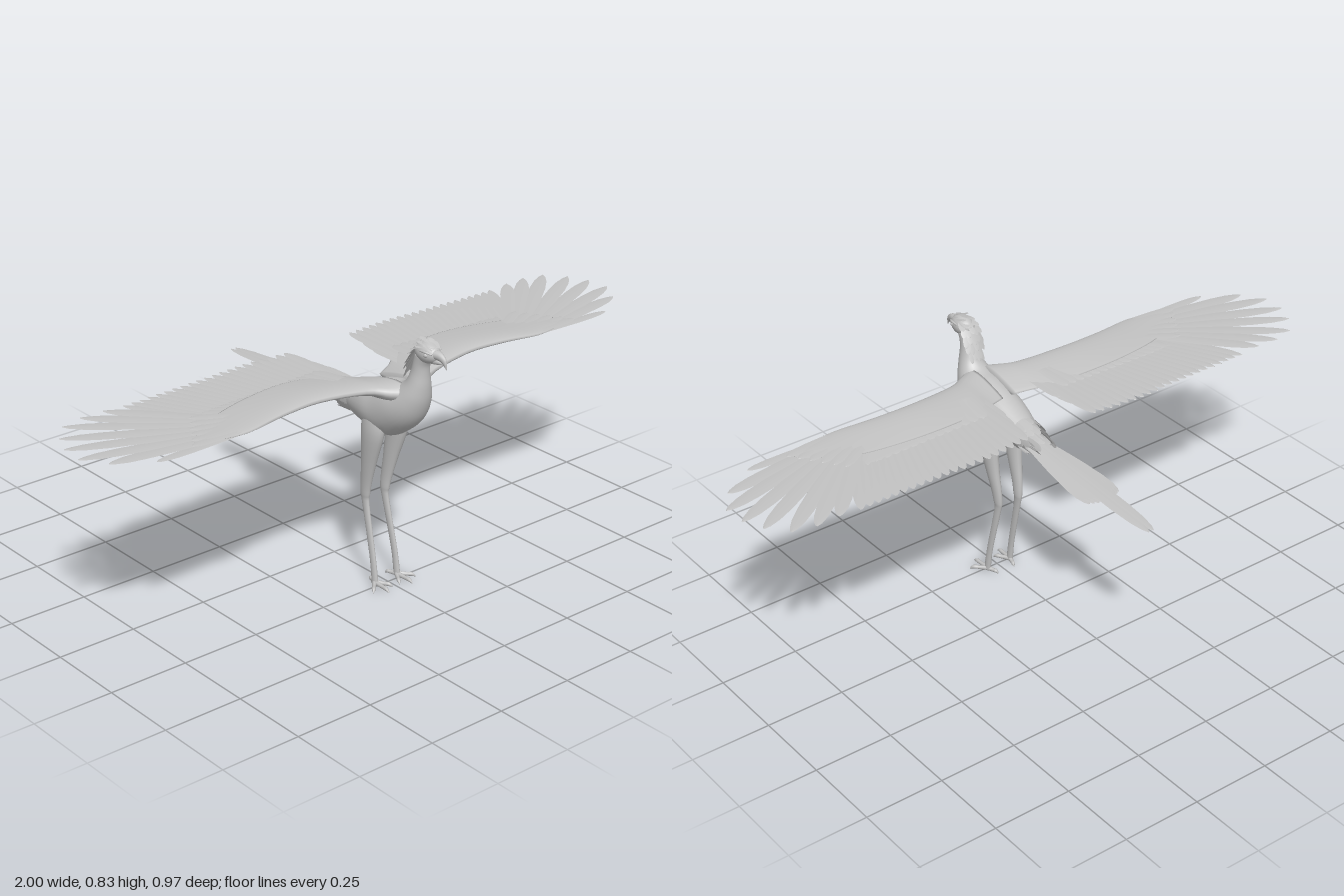
import * as THREE from 'three';
import { mergeGeometries } from 'three/addons/utils/BufferGeometryUtils.js';

const V = (x, y, z) => new THREE.Vector3(x, y, z);
const lerp = THREE.MathUtils.lerp;

// Catmull-Rom upsampling of rows of numbers
function smooth(rows, n) {
  const cr = (a, b, c, d, t) => 0.5 * (2 * b + (c - a) * t + (2 * a - 5 * b + 4 * c - d) * t * t + (3 * b - a - 3 * c + d) * t * t * t);
  const out = [];
  const at = (i) => rows[Math.min(Math.max(i, 0), rows.length - 1)];
  for (let i = 0; i < rows.length - 1; i++) {
    for (let k = 0; k < n; k++) out.push(rows[i].map((_, j) => cr(at(i - 1)[j], at(i)[j], at(i + 1)[j], at(i + 2)[j], k / n)));
  }
  out.push(rows[rows.length - 1]);
  return out;
}

// Closed, capped skin over rings of points; faces are turned outwards
function loft(rings) {
  const m = rings[0].length, pos = [], idx = [];
  rings.forEach((r) => r.forEach((p) => pos.push(p.x, p.y, p.z)));
  for (let i = 0; i < rings.length - 1; i++) {
    for (let j = 0; j < m; j++) {
      const a = i * m + j, b = i * m + (j + 1) % m;
      idx.push(a, b, a + m, b, b + m, a + m);
    }
  }
  [0, rings.length - 1].forEach((i, end) => {
    const c = V(0, 0, 0);
    rings[i].forEach((p) => c.addScaledVector(p, 1 / m));
    const ci = pos.push(c.x, c.y, c.z) / 3 - 1;
    for (let j = 0; j < m; j++) {
      const a = i * m + j, b = i * m + (j + 1) % m;
      if (end) idx.push(ci, a, b); else idx.push(ci, b, a);
    }
  });
  const P = (i) => V(pos[3 * i], pos[3 * i + 1], pos[3 * i + 2]);
  let vol = 0;
  for (let i = 0; i < idx.length; i += 3) vol += P(idx[i]).dot(P(idx[i + 1]).cross(P(idx[i + 2])));
  if (vol < 0) idx.reverse();
  const g = new THREE.BufferGeometry();
  g.setAttribute('position', new THREE.Float32BufferAttribute(pos, 3));
  g.setIndex(idx);
  g.computeVertexNormals();
  return g;
}

// Elliptical ring: centre plus two half-axis vectors
function ring(c, u, v, n = 20) {
  return Array.from({ length: n }, (_, i) => {
    const a = (i / n) * Math.PI * 2;
    return c.clone().addScaledVector(u, Math.cos(a)).addScaledVector(v, Math.sin(a));
  });
}

// Tapered tube through [x, y, z, radius] rows
function taper(rows, n = 8) {
  const r = smooth(rows, 3), p = r.map((q) => V(q[0], q[1], q[2]));
  return loft(p.map((c, i) => {
    const d = p[Math.min(i + 1, p.length - 1)].clone().sub(p[Math.max(i - 1, 0)]).normalize();
    const u = V(0, 1, 0).cross(d).normalize();
    return ring(c, u.clone().multiplyScalar(r[i][3]), d.cross(u).multiplyScalar(r[i][3]), n);
  }));
}

// One thin cambered feather from base to tip
function feather(base, tip, half, up = V(0, 1, 0), root = 0.5) {
  const prof = [[0, root], [0.25, lerp(root, 1, 0.6)], [0.5, 1], [0.75, 0.97], [0.88, 0.78], [0.96, 0.45], [1, 0.08]];
  const d = tip.clone().sub(base), s = up.clone().cross(d).normalize();
  const n = d.clone().cross(s).normalize(), pos = [], idx = [];
  prof.forEach(([t, w], i) => {
    for (let k = -1; k <= 1; k++) {
      const p = base.clone().addScaledVector(d, t).addScaledVector(s, k * w * half).addScaledVector(n, k ? 0 : half * 0.08);
      pos.push(p.x, p.y, p.z);
    }
    if (i) for (let k = 0; k < 2; k++) {
      const a = (i - 1) * 3 + k;
      idx.push(a, a + 3, a + 1, a + 1, a + 3, a + 4);
    }
  });
  const g = new THREE.BufferGeometry();
  g.setAttribute('position', new THREE.Float32BufferAttribute(pos, 3));
  g.setIndex(idx);
  g.computeVertexNormals();
  return g;
}

export function createModel() {
  const model = new THREE.Group();
  model.name = 'bird';
  const grey = new THREE.MeshStandardMaterial({ color: 0xc2c2c2, side: THREE.DoubleSide });
  grey.name = 'plumage grey';
  const add = (name, geo, parent = model) => {
    const mesh = new THREE.Mesh(Array.isArray(geo) ? mergeGeometries(geo) : geo, grey);
    mesh.name = name;
    parent.add(mesh);
    return mesh;
  };

  // Body and neck: [belly z, belly y, back z, back y, half width]
  const bodyRows = [
    [0.06, 0.535, 0.06, 0.59, 0.025], [0.12, 0.515, 0.12, 0.612, 0.052], [0.2, 0.497, 0.18, 0.638, 0.07],
    [0.27, 0.492, 0.22, 0.655, 0.072], [0.335, 0.53, 0.265, 0.668, 0.07], [0.377, 0.575, 0.298, 0.673, 0.062],
    [0.4, 0.63, 0.32, 0.682, 0.05], [0.406, 0.68, 0.338, 0.7, 0.037], [0.405, 0.72, 0.35, 0.728, 0.028],
    [0.407, 0.75, 0.357, 0.755, 0.025], [0.418, 0.772, 0.365, 0.79, 0.024]];
  add('body', loft(smooth(bodyRows, 4).map(([az, ay, bz, by, w]) => ring(
    V(0, (ay + by) / 2, (az + bz) / 2), V(w, 0, 0), V(0, (by - ay) / 2, (bz - az) / 2), 28))));

  // Head, hooked beak and eyes
  const head = new THREE.Group();
  head.name = 'head';
  model.add(head);
  add('skull', new THREE.SphereGeometry(1, 24, 16).scale(0.03, 0.031, 0.045).translate(0, 0.793, 0.407), head);
  const beakRows = [[0.435, 0.795, 0.019, 0.016], [0.455, 0.795, 0.012, 0.013], [0.47, 0.79, 0.008, 0.01],
    [0.48, 0.78, 0.005, 0.008], [0.485, 0.764, 0.001, 0.002]];
  add('upperBeak', loft(smooth(beakRows, 3).map(([z, y, w, h]) => ring(V(0, y, z), V(w, 0, 0), V(0, h, h * 0.4), 14))), head);
  add('lowerBeak', taper([[0, 0.777, 0.425, 0.014], [0, 0.777, 0.45, 0.009], [0, 0.776, 0.472, 0.002]]), head);
  for (const s of [-1, 1]) {
    add('eye', new THREE.SphereGeometry(0.007, 12, 8).translate(s * 0.024, 0.795, 0.425), head);
    add('brow', taper([[s * 0.018, 0.8, 0.444, 0.002], [s * 0.027, 0.805, 0.425, 0.004], [s * 0.027, 0.803, 0.4, 0.002]]), head);
  }

  // Crest: rows of plumes over the crown and down the nape
  // [base y, base z, tip y, tip z, half spread, half width]
  const crest = [];
  const crestRows = [[0.818, 0.44, 0.831, 0.4, 0.016, 0.008], [0.822, 0.42, 0.825, 0.374, 0.02, 0.009],
    [0.82, 0.4, 0.805, 0.357, 0.022, 0.009], [0.812, 0.38, 0.78, 0.347, 0.024, 0.009],
    [0.8, 0.368, 0.755, 0.338, 0.024, 0.009], [0.79, 0.365, 0.73, 0.33, 0.022, 0.009], [0.775, 0.363, 0.706, 0.322, 0.016, 0.008]];
  crestRows.forEach(([by, bz, ty, tz, w, hw], r) => {
    for (let i = -2; i <= 2; i++) {
      const x = (i / 2) * w, drop = Math.abs(i) * 0.004;
      crest.push(feather(V(x * 0.8, by - drop, bz), V(x * 1.3, ty - drop + ((i + r) % 2) * 0.006, tz + drop), hw, V(x * 12, 1, -0.8)));
    }
  });
  add('crest', crest, head);

  // Wing, built on the +x side and mirrored
  const wing = new THREE.Group();
  wing.name = 'leftWing';
  // Arm: [x, leading z, trailing z, y, half thickness]
  const armRows = [[0.02, 0.365, 0.18, 0.648, 0.045], [0.07, 0.335, 0.16, 0.655, 0.033], [0.13, 0.3, 0.13, 0.667, 0.022],
    [0.28, 0.277, 0.11, 0.677, 0.019], [0.42, 0.283, 0.12, 0.675, 0.015], [0.55, 0.301, 0.15, 0.67, 0.009],
    [0.64, 0.285, 0.2, 0.669, 0.005], [0.7, 0.268, 0.245, 0.668, 0.001]];
  add('wingArm', loft(smooth(armRows, 4).map(([x, a, b, y, h]) => Array.from({ length: 20 }, (_, i) => {
    const t = (i / 20) * Math.PI * 2, c = Math.cos(t);
    return V(x, y + Math.sin(t) * h * (0.62 + 0.38 * c), lerp(b, a, (c + 1) / 2));
  }))), wing);

  // Inner flight feathers with a gently scalloped trailing edge
  const secondaries = [];
  for (let i = 0; i < 21; i++) {
    const t = i / 20, tipX = lerp(0.125, 0.7, t);
    const tipZ = -0.078 - 0.018 * Math.sin(Math.min(t * 2.2, 1) * Math.PI * 0.7) + 0.014 * t;
    secondaries.push(feather(V(lerp(0.12, 0.53, t), 0.668 - i * 0.0003, lerp(0.18, 0.21, t)), V(tipX, 0.668 - i * 0.0003, tipZ), 0.021, undefined, 0.9));
  }
  [[0.1, 0.06], [0.112, 0.0]].forEach(([x, z]) => secondaries.push(feather(V(0.1, 0.667, 0.22), V(x, 0.666, z), 0.018, undefined, 0.9)));
  add('secondaryFeathers', secondaries, wing);

  // Outer flight feathers fanned like fingers
  const tips = [[0.77, -0.075], [0.845, -0.078], [0.915, -0.06], [0.965, 0], [0.993, 0.065], [0.998, 0.14], [0.95, 0.212], [0.845, 0.282]];
  add('primaryFeathers', tips.map(([x, z], i) => {
    const t = i / 7, y = 0.667 - i * 0.0004;
    return feather(V(lerp(0.53, 0.58, t), 0.668 - i * 0.0004, lerp(0.2, 0.28, t)), V(x, y, z), i === 7 ? 0.017 : 0.025, undefined, 0.7);
  }), wing);

  // Coverts overlapping the feather roots
  const coverts = [];
  for (let i = 0; i < 14; i++) {
    const t = i / 13, y = 0.682 - 0.008 * t - i * 0.0002;
    coverts.push(feather(V(lerp(0.14, 0.46, t), y, 0.2), V(lerp(0.155, 0.56, t), y - 0.009, lerp(0.09, 0.1, t)), 0.021, undefined, 0.8));
  }
  for (let i = 0; i < 6; i++) {
    const t = i / 5, y = 0.6745 - i * 0.0003;
    coverts.push(feather(V(lerp(0.48, 0.57, t), y, lerp(0.21, 0.28, t)), V(lerp(0.62, 0.72, t), y - 0.004, lerp(0.12, 0.27, t)), 0.018, undefined, 0.8));
  }
  add('covertFeathers', coverts, wing);

  // Leg, built on the +x side: [y, x, z, half width, half depth]
  const leg = new THREE.Group();
  leg.name = 'leftLeg';
  const legRows = [[0.57, 0.038, 0.225, 0.026, 0.045], [0.5, 0.046, 0.228, 0.025, 0.044], [0.4, 0.043, 0.209, 0.018, 0.029],
    [0.33, 0.04, 0.194, 0.013, 0.022], [0.285, 0.038, 0.188, 0.011, 0.018], [0.25, 0.038, 0.191, 0.008, 0.014],
    [0.1, 0.042, 0.226, 0.007, 0.012], [0.03, 0.043, 0.238, 0.008, 0.012], [0.008, 0.043, 0.24, 0.008, 0.012]];
  add('legShaft', loft(smooth(legRows, 4).map(([y, x, z, rx, rz]) => ring(V(x, y, z), V(rx, 0, 0), V(0, 0, rz), 16))), leg);
  const toes = [[0.003, 0.07], [0.04, 0.042], [-0.03, 0.048], [-0.012, -0.036]];
  add('toes', toes.map(([dx, dz]) => taper([[0.043, 0.013, 0.238, 0.008], [0.043 + dx * 0.5, 0.012, 0.238 + dz * 0.5, 0.006],
    [0.043 + dx * 0.8, 0.012, 0.238 + dz * 0.8, 0.006], [0.043 + dx, 0.005, 0.238 + dz, 0.001]])), leg);

  // Mirror the limbs to the right side
  for (const [limb, name] of [[wing, 'rightWing'], [leg, 'rightLeg']]) {
    const other = limb.clone();
    other.name = name;
    other.scale.x = -1;
    model.add(limb, other);
  }

  // Rump feathers in three staggered rings: [base z, tip z, half width x, half height y]
  const rump = [];
  [[0.13, 0.05, 0.05, 0.046], [0.1, 0.025, 0.042, 0.036], [0.08, -0.015, 0.032, 0.02]].forEach(([bz, tz, w, h], r) => {
    for (let i = 0; i < 14; i++) {
      const a = ((i + r / 2) / 14) * Math.PI * 2, c = Math.cos(a), s = Math.sin(a);
      rump.push(feather(V(c * w, 0.562 + s * h, bz), V(c * w * 0.9, 0.555 + s * h, tz + ((i * 5) % 3) * 0.012), 0.012, V(c, s, 0)));
    }
  });
  add('rumpFeathers', rump);

  // Tail fan with two long central plumes
  const tail = [];
  for (const s of [-1, 1]) {
    for (let i = 0; i < 4; i++) {
      const x = s * lerp(0.054, 0.02, i / 3), y = 0.55 + i * 0.0015 + (s > 0 ? 0.0007 : 0);
      tail.push(feather(V(x * 0.3, y, 0.07), V(x, y - 0.028, -0.275 - i * 0.008), 0.024, undefined, 0.6));
    }
    tail.push(feather(V(s * 0.006, 0.556, 0.07), V(s * 0.008, 0.52, -0.488), 0.023, undefined, 0.6));
  }
  add('tailFeathers', tail);
  return model;
}
